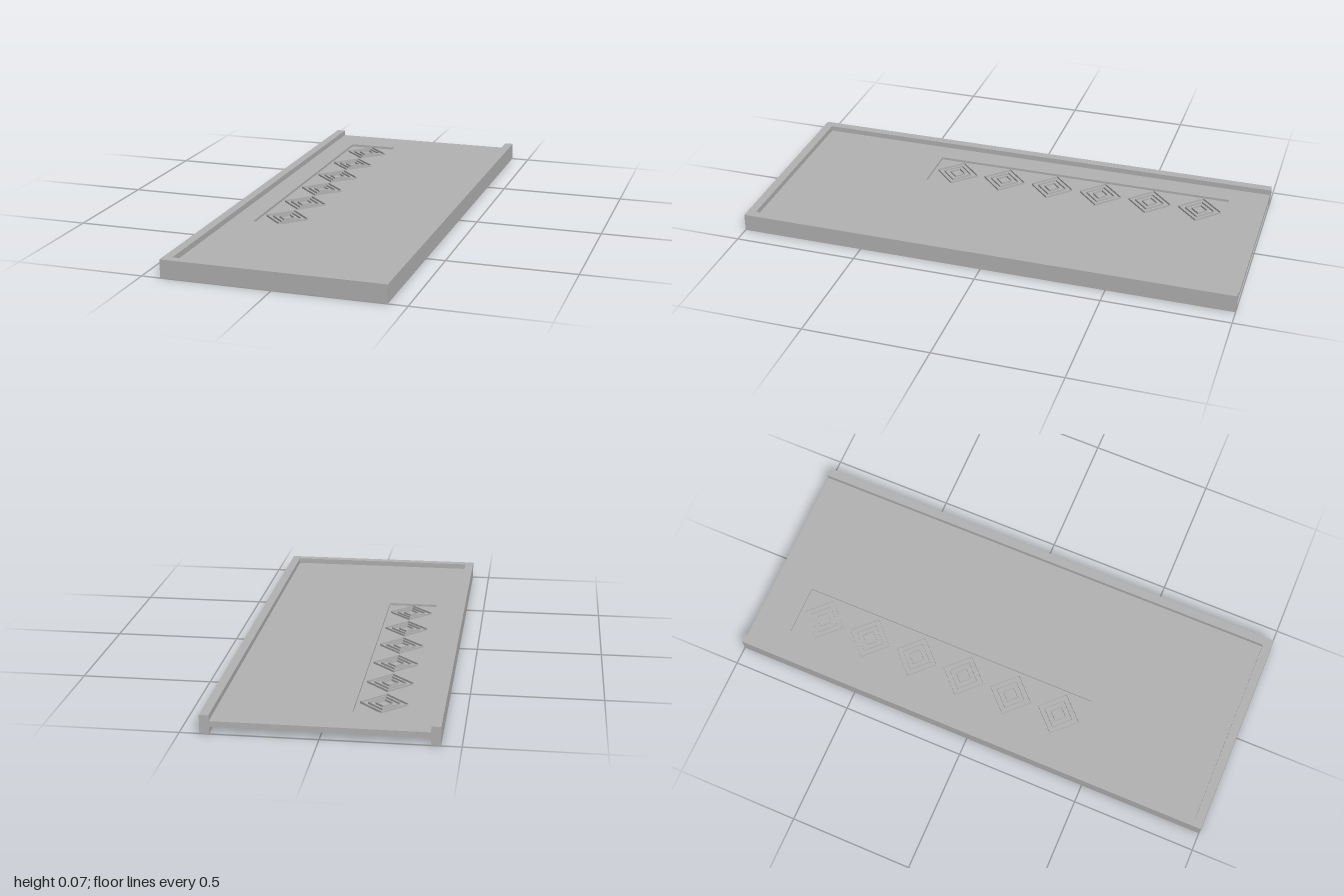
import * as THREE from 'three';

const W = 0.427, RIM = 0.035, TOP = 0.071;
const FLOOR_TOP = 0.049, FLOOR_BOTTOM = 0.027;

export function createModel() {
  const group = new THREE.Group();
  const grey = new THREE.MeshStandardMaterial({ color: 0xb2b2b2 });
  grey.name = 'plain grey';
  const greySheet = new THREE.MeshStandardMaterial({ color: 0xb2b2b2, side: THREE.DoubleSide });
  greySheet.name = 'plain grey sheet';

  const add = (name, geometry, material = grey) => {
    const mesh = new THREE.Mesh(geometry, material);
    mesh.name = name;
    group.add(mesh);
    return mesh;
  };

  // Outline points are [x, z]; the shape is raised from y0 to y1
  const toPoints = (list) => list.map(([x, z]) => new THREE.Vector2(x, -z));
  const rect = (x0, x1, z0, z1) => [[x0, z0], [x0, z1], [x1, z1], [x1, z0]];
  const slab = (outline, y0, y1, hole) => {
    const shape = new THREE.Shape(toPoints(outline));
    if (hole) shape.holes.push(new THREE.Path(toPoints(hole)));
    return new THREE.ExtrudeGeometry(shape, { depth: y1 - y0, bevelEnabled: false })
      .rotateX(-Math.PI / 2).translate(0, y0, 0);
  };

  // Rim around three sides, open at the back
  const inX = W - RIM, inZ = 1 - RIM;
  add('rim', slab([
    [-W, -1], [-W, 1], [W, 1], [W, -1],
    [inX, -1], [inX, inZ], [-inX, inZ], [-inX, -1],
  ], 0, TOP));

  // Floor panel with the vent opening, and a slightly thinner front part
  const opening = rect(-0.302, -0.098, -0.845, 0.41);
  add('floorPanel', slab(rect(-inX, inX, -1, 0.56), FLOOR_BOTTOM, FLOOR_TOP, opening));
  add('frontFloorPanel', slab(rect(-inX, inX, 0.56, inZ), FLOOR_BOTTOM + 0.003, FLOOR_TOP));

  // Thin plate sunk into the opening from both sides
  add('ventPlate', slab(opening, 0.037, 0.039));

  // Six vents, each of three nested diamond walls
  for (let i = 0; i < 6; i++) {
    const vent = new THREE.Group();
    vent.name = 'diamondVent';
    vent.position.set(-0.2, 0.038, -0.2175 + (i - 2.5) * 0.209);
    for (const radius of [0.088, 0.06, 0.032]) {
      const wall = new THREE.Mesh(
        new THREE.CylinderGeometry(radius, radius, 0.018, 4, 1, true).toNonIndexed(), greySheet);
      wall.geometry.computeVertexNormals();
      wall.name = 'diamondWall';
      vent.add(wall);
    }
    group.add(vent);
  }
  return group;
}
